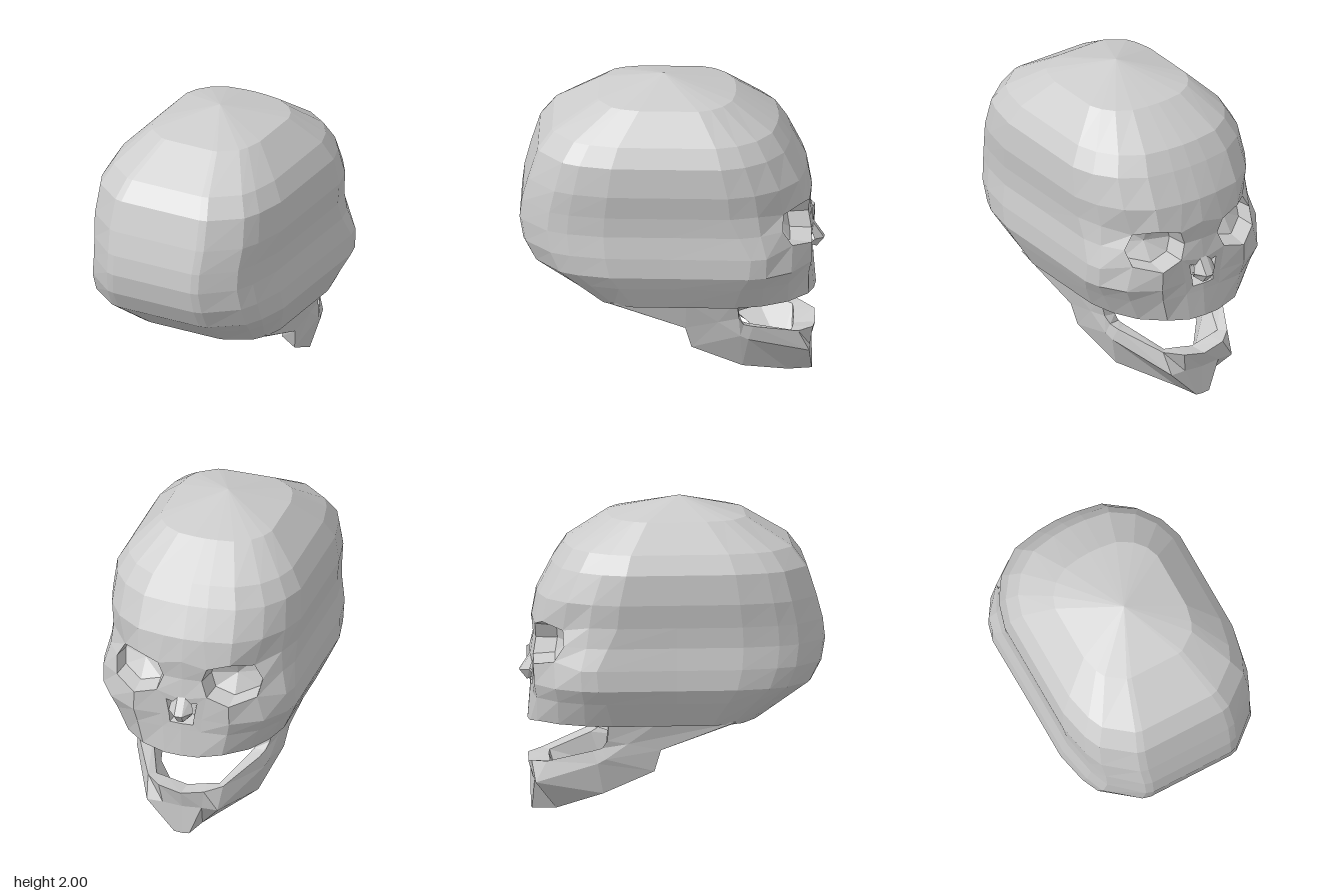
import * as THREE from 'three';

const material = new THREE.MeshStandardMaterial({ color: 0xcccccc, flatShading: true, side: THREE.DoubleSide });
const V = (x, y, z) => new THREE.Vector3(x, y, z);
const mirror = (p) => V(-p.x, p.y, p.z);

// Skin rows of points into a faceted mesh; skip(r, c) leaves out quads.
function skin(name, rows, closed, skip = () => false) {
  const pos = [];
  const tri = (a, b, c) => {
    if (a.distanceTo(b) < 1e-5 || b.distanceTo(c) < 1e-5 || c.distanceTo(a) < 1e-5) return;
    for (const p of [a, b, c]) pos.push(p.x, p.y, p.z);
  };
  const n = rows[0].length;
  for (let r = 0; r < rows.length - 1; r++) {
    for (let i = 0; i < (closed ? n : n - 1); i++) {
      if (skip(r, i)) continue;
      const j = (i + 1) % n;
      tri(rows[r][i], rows[r][j], rows[r + 1][j]);
      tri(rows[r][i], rows[r + 1][j], rows[r + 1][i]);
    }
  }
  const geometry = new THREE.BufferGeometry();
  geometry.setAttribute('position', new THREE.Float32BufferAttribute(pos, 3));
  geometry.computeVertexNormals();
  const mesh = new THREE.Mesh(geometry, material);
  mesh.name = name;
  return mesh;
}

// Half outline of a skull ring, face (-z) to back: x share of width, z share of depth
const OUTLINE = [[0, -1], [0.21, -0.99], [0.5, -0.95], [0.76, -0.81], [0.92, -0.63], [1, -0.43],
  [1, 0], [1, 0.44], [0.93, 0.68], [0.85, 0.81], [0.54, 0.985], [0.46, 1], [0, 1]];

// Rings: height, face depth, back depth, half width, cheek flare
const RINGS = [
  [1.89, 0.4, 0.47, 0.37, 0],
  [1.71, 0.67, 0.76, 0.545, 0],
  [1.59, 0.75, 0.85, 0.612, 0],
  [1.4, 0.85, 0.91, 0.628, 0],
  [1.25, 0.88, 0.95, 0.61, 0],
  [1.12, 0.87, 0.965, 0.607, 0.5],
  [0.98, 0.89, 0.94, 0.63, 1],
  [0.85, 0.89, 0.87, 0.636, 0.9],
  [0.76, 0.89, 0.745, 0.597, 0.5],
  [0.605, 0.905, 0.53, 0.525, 0.1],
];

function ring([y, front, back, w, flare]) {
  const half = OUTLINE.map(([u, v], i) => {
    const cheek = i >= 3 && i <= 5 ? flare : 0;
    const z = v * (v < 0 ? front : back) - cheek * (i === 5 ? 0.13 : 0.05)
      - (i === 2 ? flare * 0.045 : 0);
    return V(u * w + cheek * (i === 5 ? 0.005 : 0.03), y, z);
  });
  return [...half, ...half.slice(1, -1).reverse().map(mirror)];
}

function createSkull() {
  const group = new THREE.Group();
  group.name = 'skull';
  const n = 2 * (OUTLINE.length - 1);
  const same = (p) => Array.from({ length: n }, () => p.clone());
  const rows = [same(V(0, 2, 0.06)), ...RINGS.map(ring), same(V(0, 0.64, -0.15))];

  // The upper tooth row dips in the middle
  for (const i of [n - 1, 0, 1]) rows[10][i].y = 0.58;

  // Openings: name, centre row, centre column, lip scale, inner scale, depth
  const eye = [1, 0.88, 0.13];
  const pits = [['leftEyeSocket', 6, 2, ...eye], ['rightEyeSocket', 6, n - 2, ...eye],
    ['noseOpening', 8, 0, 0.62, 0.45, 0.1]];

  // Round the eye openings by pulling in their corners and pushing out their outer edge
  for (const [, r, c] of pits.slice(0, 2)) {
    for (const dr of [-1, 1]) {
      for (const dc of [-1, 1]) {
        const p = rows[r + dr][c + dc];
        p.y += (rows[r][c].y - p.y) * 0.28;
        p.x += (rows[r][c].x - p.x) * 0.2;
      }
    }
    const outer = rows[r][c < n / 2 ? c + 1 : c - 1];
    outer.x += Math.sign(outer.x) * 0.01;
    outer.z += 0.02;
  }

  group.add(skin('cranium', rows, true, (r, i) =>
    pits.some(([, pr, pc]) => (r === pr - 1 || r === pr) && (i === (pc + n - 1) % n || i === pc))));

  const around = [[-1, -1], [-1, 0], [-1, 1], [0, 1], [1, 1], [1, 0], [1, -1], [0, -1]];
  for (const [name, r, c, lipScale, scale, depth] of pits) {
    const rim = around.map(([dr, dc]) => rows[r + dr][(c + dc + n) % n]);
    const mid = rim.reduce((s, p) => s.add(p), V(0, 0, 0)).divideScalar(rim.length);
    const inset = (k, dz) => rim.map((p) => p.clone().sub(mid).multiplyScalar(k).add(mid).add(V(0, 0, dz)));
    group.add(skin(name, [rim, inset(lipScale, 0), inset(scale, depth), inset(0, depth + 0.02)], true));
  }
  return group;
}

// Mirror half of a row (given from the middle outwards) to both sides
const bothSides = (half) => [...half.map((p) => mirror(V(...p))).reverse(), ...half.map((p) => V(...p))];

function createNasalBone() {
  return skin('nasalBone', [
    [[0.025, 1.02, -0.87], [0.06, 1.0, -0.86]],
    [[0.025, 0.89, -0.958], [0.08, 0.9, -0.9]],
    [[0.02, 0.83, -0.91], [0.06, 0.86, -0.86]],
    [[0.02, 0.86, -0.84], [0.05, 0.88, -0.84]],
  ].map(bothSides), false);
}

// Plate under the skull: down from the back to the jaw joints, then forward to the palate
function createBasePlate() {
  return skin('skullBase', [
    [[0.24, 0.612, 0.51], [0.5, 0.615, 0.38]],
    [[0.24, 0.51, 0.09], [0.46, 0.44, -0.09]],
    [[0.22, 0.595, -0.8], [0.42, 0.6, -0.52]],
  ].map((row) => bothSides(row).reverse()), false);
}

// Jaw stations from joint to chin: outer top, middle and bottom, inward shift [x, z]
const JAW = [
  [[0.47, 0.64, -0.42], [0.5, 0.63, -0.1], [0.505, 0.62, 0.38], [0.09, 0]],
  [[0.44, 0.5, -0.43], [0.455, 0.48, -0.3], [0.46, 0.44, -0.09], [0.08, 0]],
  [[0.42, 0.45, -0.46], [0.44, 0.38, -0.44], [0.435, 0.3, -0.13], [0.08, 0.02]],
  [[0.4, 0.43, -0.52], [0.425, 0.35, -0.49], [0.37, 0.15, -0.45], [0.08, 0.04]],
  [[0.25, 0.34, -0.8], [0.235, 0.2, -0.87], [0.09, 0.01, -0.73], [0.04, 0.05]],
  [[0.15, 0.33, -0.89], [0.13, 0.2, -0.87], [0.05, 0.005, -0.88], [0.02, 0.13]],
  [[0, 0.3, -0.9], [0, 0.19, -0.87], [0, 0, -0.88], [0, 0.14]],
];

function createJaw() {
  const half = JAW.map(([t, m, b, [dx, dz]]) => [
    V(...t), V(...m), V(...b), V(b[0] - dx, b[1] + 0.07, b[2] + dz), V(t[0] - dx, t[1] - 0.01, t[2] + dz),
  ]);
  const other = half.slice(0, -1).reverse().map((s) => s.map(mirror));
  return skin('jaw', [...half, ...other], true);
}

export function createModel() {
  const model = new THREE.Group();
  model.name = 'skullModel';
  model.add(createSkull(), createNasalBone(), createBasePlate(), createJaw());
  return model;
}
